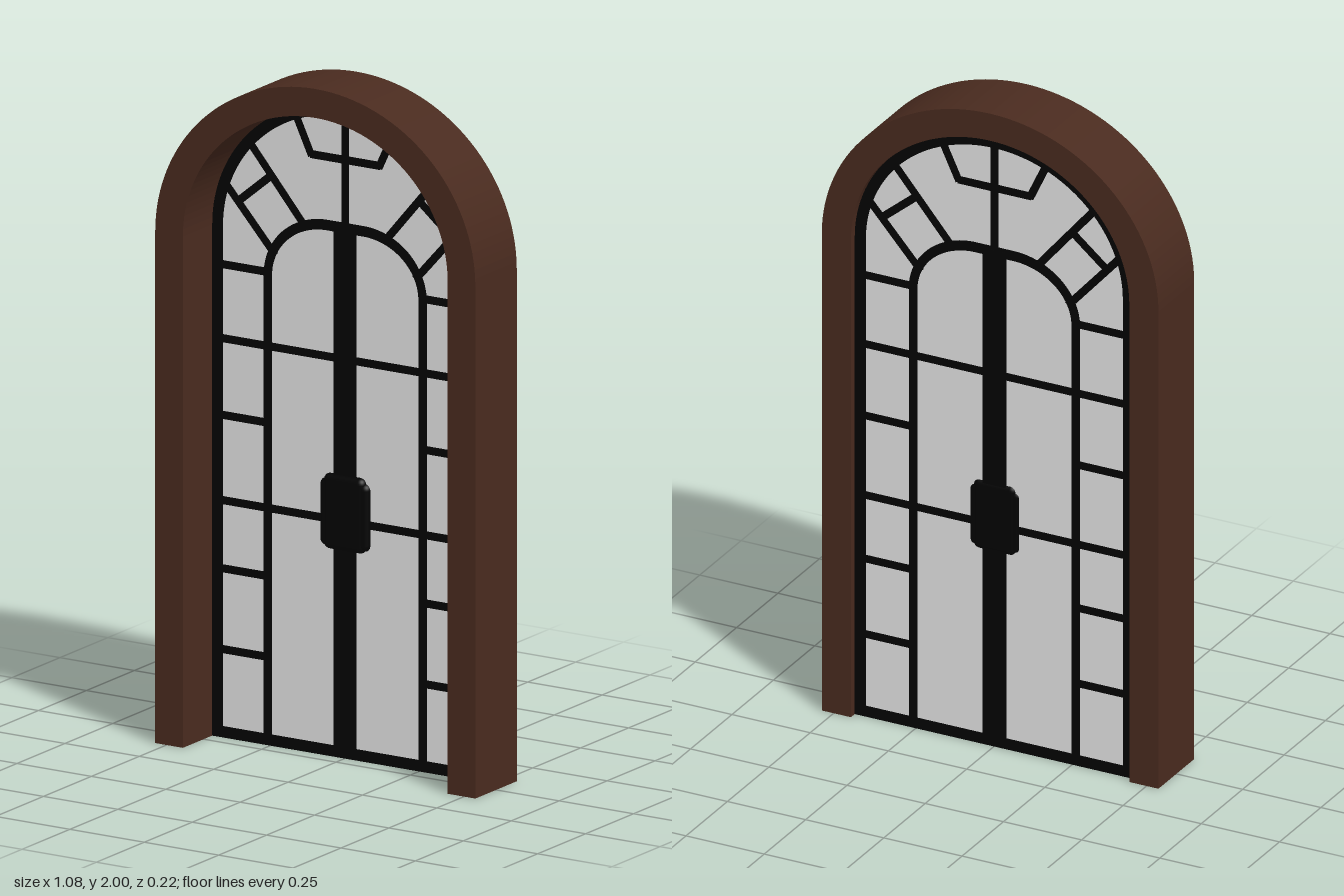
import * as THREE from 'three';
import { RoundedBoxGeometry } from 'three/addons/geometries/RoundedBoxGeometry.js';

const SPRING = 1.5;          // height where the big arch starts
const PANEL_Z = -0.065;      // the glazed panel sits towards the back of the frame

// Arch outline: straight sides, quarter-ellipse shoulders and an optional flat crown.
function archPoints(rx, ry, spring, base, crown = 0, steps = 64) {
  const pts = [new THREE.Vector2(rx + crown, base)];
  for (let i = 0; i <= steps; i++) {
    const a = (i / steps) * Math.PI;
    const shift = crown * Math.sign(steps / 2 - i);
    pts.push(new THREE.Vector2(shift + rx * Math.cos(a), spring + ry * Math.sin(a)));
  }
  pts.push(new THREE.Vector2(-rx - crown, base));
  return pts;
}

// Flat shape given depth, centred on z.
function slab(points, depth, z) {
  const geo = new THREE.ExtrudeGeometry(new THREE.Shape(points), { depth, bevelEnabled: false });
  return geo.translate(0, 0, z - depth / 2);
}

// Band between two arches, open at the foot.
function archBand(outer, inner, depth, z) {
  return slab([...archPoints(...outer), ...archPoints(...inner).reverse()], depth, z);
}

function flatMaterial(name, color) {
  const material = new THREE.MeshStandardMaterial({ color });
  material.name = name;
  return material;
}

export function createModel() {
  const model = new THREE.Group();
  model.name = 'archedDoor';

  const wood = flatMaterial('brownWood', 0x4a2b1f);
  const iron = flatMaterial('blackIron', 0x030303);
  const glass = flatMaterial('paleGlass', 0xe7e7e7);

  const add = (name, geo, mat, parent = model) => {
    const mesh = new THREE.Mesh(geo, mat);
    mesh.name = name;
    parent.add(mesh);
    return mesh;
  };

  // Deep wooden surround
  add('surround', archBand([0.538, 0.5, SPRING, 0], [0.445, 0.415, SPRING, 0], 0.216, 0), wood);

  // Glass, almost flush with the bars on both sides
  add('glass', slab(archPoints(0.435, 0.405, SPRING, 0.01), 0.03, PANEL_Z), glass);

  // Iron framework
  const bars = new THREE.Group();
  bars.name = 'ironFramework';
  model.add(bars);
  add('outerBorder', archBand([0.446, 0.416, SPRING, 0], [0.412, 0.382, SPRING, 0], 0.04, PANEL_Z), iron, bars);
  add('innerArch', archBand([0.213, 0.19, 1.38, 0.01, 0.06], [0.187, 0.16, 1.38, 0.01, 0.06], 0.037, PANEL_Z), iron, bars);

  // Straight bar between two points
  const bar = (name, x1, y1, x2, y2, width = 0.023, depth = 0.036) => {
    const geo = new THREE.BoxGeometry(Math.hypot(x2 - x1, y2 - y1), width, depth);
    const mesh = add(name, geo, iron, bars);
    mesh.position.set((x1 + x2) / 2, (y1 + y2) / 2, PANEL_Z);
    mesh.rotation.z = Math.atan2(y2 - y1, x2 - x1);
  };

  bar('bottomRail', -0.43, 0.016, 0.43, 0.016, 0.032, 0.04);
  bar('meetingStile', 0, 0.01, 0, 1.56, 0.074, 0.04);
  bar('topMullion', 0, 1.55, 0, 1.9);
  bar('fanCrossbar', -0.117, 1.755, 0.117, 1.755);
  for (const y of [0.695, 1.17]) bar('doorCrossbar', -0.26, y, 0.26, y);

  for (const s of [-1, 1]) {
    for (const y of [0.258, 0.495, 0.695, 0.945, 1.17, 1.387]) {
      bar('sideCrossbar', s * 0.26, y, s * 0.43, y);
    }
    bar('fanUpperBar', s * 0.113, 1.75, s * 0.165, 1.86);
    bar('fanMiddleBar', s * 0.335, 1.775, s * 0.14, 1.545);
    bar('fanLowerBar', s * 0.41, 1.635, s * 0.235, 1.44);
    bar('fanTieBar', s * 0.36, 1.58, s * 0.245, 1.675);
  }

  // Lock plate across both doors
  const lock = add('lockPlate', new RoundedBoxGeometry(0.168, 0.2, 0.05, 4, 0.02), iron);
  lock.position.set(0, 0.715, PANEL_Z + 0.005);
  const boss = add('lockBoss', new RoundedBoxGeometry(0.14, 0.222, 0.056, 4, 0.02), iron);
  boss.position.set(0, 0.719, PANEL_Z + 0.005);

  return model;
}
